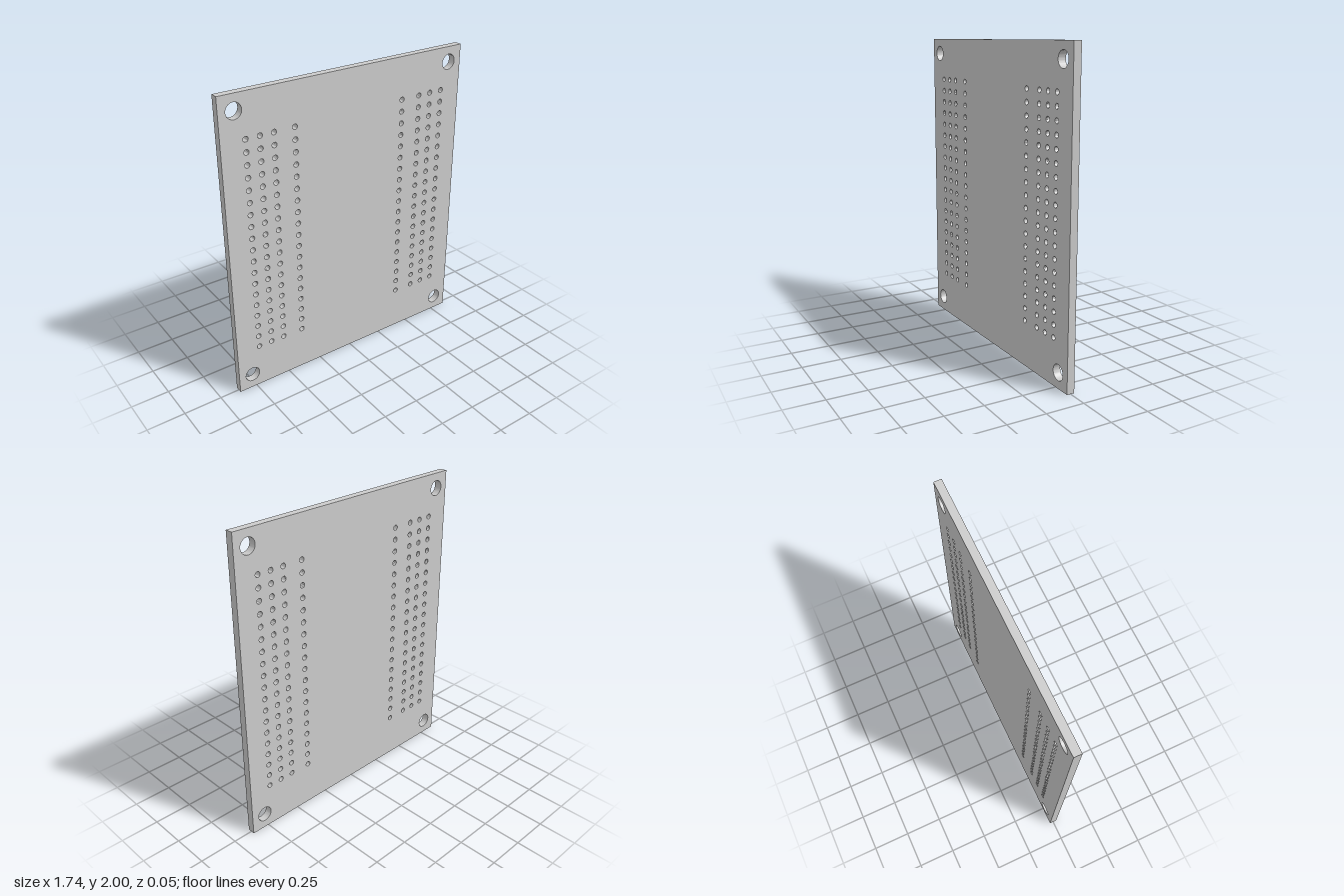
import * as THREE from 'three';
import { toCreasedNormals } from 'three/addons/utils/BufferGeometryUtils.js';

const WIDTH = 1.74, HEIGHT = 2, THICKNESS = 0.05;

// Round hole cut through the board
function hole(x, y, radius) {
  const path = new THREE.Path();
  path.absarc(x, y, radius, 0, Math.PI * 2, true);
  return path;
}

export function createModel() {
  const group = new THREE.Group();
  group.name = 'perforatedBoard';

  // Board outline
  const w = WIDTH / 2;
  const outline = new THREE.Shape([
    new THREE.Vector2(-w, 0),
    new THREE.Vector2(w, 0),
    new THREE.Vector2(w, HEIGHT),
    new THREE.Vector2(-w, HEIGHT),
  ]);

  // Mounting holes in the four corners
  for (const x of [-0.773, 0.773]) {
    for (const y of [0.1, 1.9]) outline.holes.push(hole(x, y, 0.05));
  }

  // Pin holes: eight columns of nineteen
  const columns = [-0.712, -0.621, -0.53, -0.39, 0.4, 0.537, 0.628, 0.719];
  const rows = 19, bottom = 0.298, top = 1.722;
  for (const x of columns) {
    for (let i = 0; i < rows; i++) {
      outline.holes.push(hole(x, bottom + (top - bottom) * i / (rows - 1), 0.017));
    }
  }

  const geometry = new THREE.ExtrudeGeometry(outline, {
    depth: THICKNESS, bevelEnabled: false, curveSegments: 24,
  });
  geometry.translate(0, 0, -THICKNESS / 2);

  const board = new THREE.Mesh(
    toCreasedNormals(geometry, 0.6),
    new THREE.MeshStandardMaterial({ color: 0xcccccc }),
  );
  board.name = 'board';
  group.add(board);
  return group;
}
